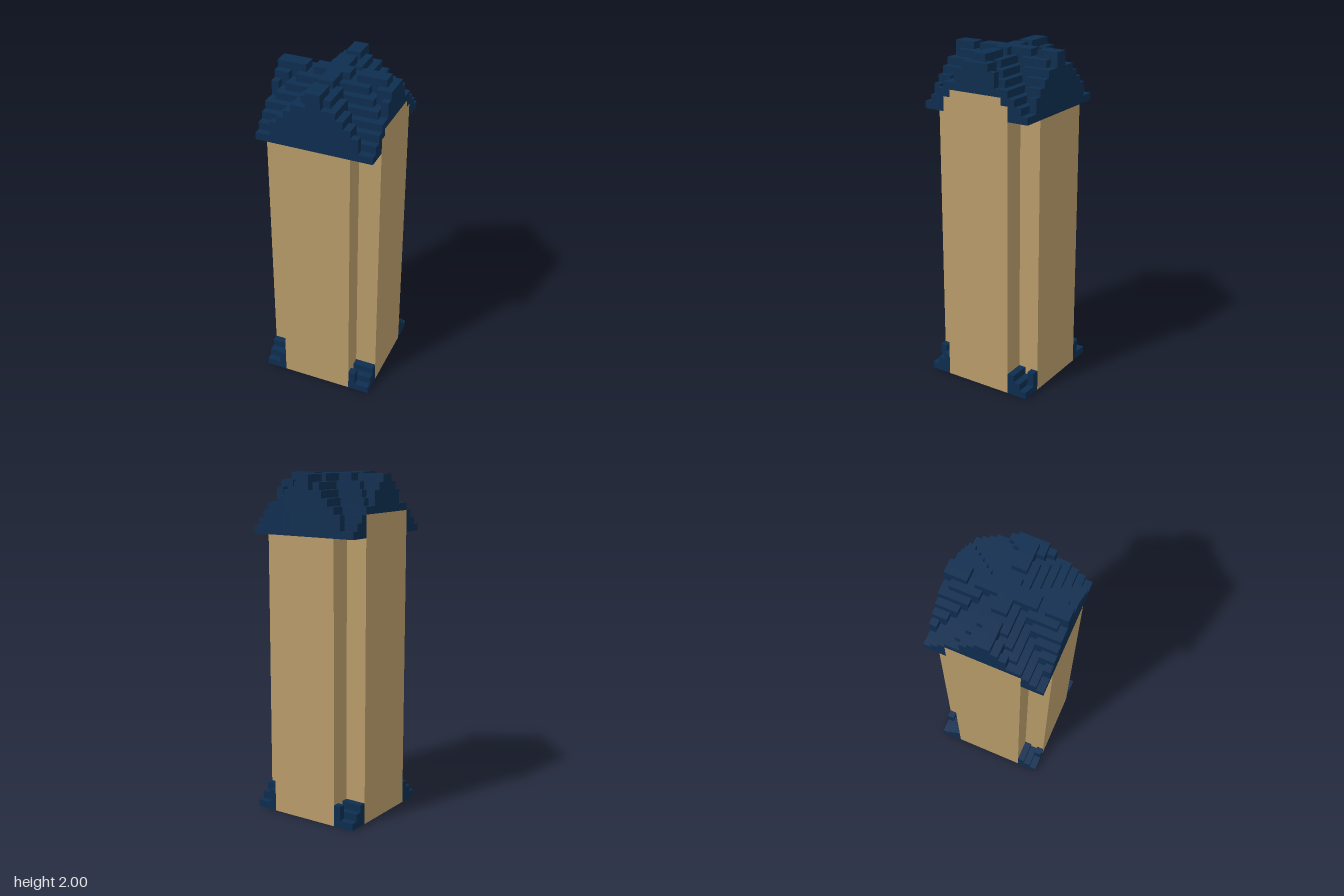
import * as THREE from 'three';
import { mergeGeometries } from 'three/addons/utils/BufferGeometryUtils.js';

const U = 2 / 47; // one block
const N = 16;     // blocks across
const EAVES = 39; // roof starts at this layer

// Box given by its block bounds, counted from the -x, -z corner
function block(x0, x1, y0, y1, z0, z1) {
  const g = new THREE.BoxGeometry((x1 - x0) * U, (y1 - y0) * U, (z1 - z0) * U);
  g.translate(((x0 + x1) / 2 - N / 2) * U, ((y0 + y1) / 2) * U, ((z0 + z1) / 2 - N / 2) * U);
  return g;
}

// Blocks away from the centre line, 0 to 7
const fromCentre = (i) => (i < 8 ? 7 - i : i - 8);

// Stepped cross gable with a few worn blocks
function steps(i, j) {
  const ix = fromCentre(i), iz = fromCentre(j);
  let h = 8 - Math.min(ix, iz);
  const gapX = iz === 0 && (i === 4 || i === 10 || i === 15);
  const gapZ = ix === 0 && (j === 3 || j === 12);
  const worn = ix > 0 && iz > 0 && (ix * 2 + iz * 3 + 2) % 5 === 0;
  if (gapX || gapZ || worn) h -= 1;
  return Math.max(h, 1);
}

// Top layer of the wall under a roof cell; the side walls rise into the gables
function wallTop(i, j) {
  const iz = fromCentre(j);
  if (iz > 4) return EAVES;
  if (i === 0) return 42;
  if (i === 15) return iz === 4 ? 41 : 42;
  return EAVES;
}

export function createModel() {
  const model = new THREE.Group();
  const tan = new THREE.MeshStandardMaterial({ color: 0xb89b69 });
  tan.name = 'tan wall';
  const navy = new THREE.MeshStandardMaterial({ color: 0x0d2d4f });
  navy.name = 'navy tile';

  const add = (name, parts, material) => {
    const mesh = new THREE.Mesh(mergeGeometries(parts), material);
    mesh.name = name;
    model.add(mesh);
  };

  // Cross-shaped tower with notched corners
  add('towerWalls', [
    block(3, 13, 0, EAVES, 0, 16),
    block(0, 3, 0, EAVES, 3, 13),
    block(13, 16, 0, EAVES, 3, 13),
  ], tan);

  // Wall tops that fill the lower part of the side gables
  add('sideGableWalls', [
    block(0, 1, EAVES, 42, 3, 13),
    block(15, 16, EAVES, 41, 3, 13),
    block(15, 16, 41, 42, 4, 12),
  ], tan);

  // Roof, one column of blocks per cell
  const roof = [];
  for (let i = 0; i < N; i++) {
    for (let j = 0; j < N; j++) {
      roof.push(block(i, i + 1, wallTop(i, j), EAVES + steps(i, j), j, j + 1));
    }
  }
  add('crossGableRoof', roof, navy);

  // Stepped feet in the four corner notches, with a tan block at the inner corner
  const feet = [], innerBlocks = [];
  const corner = [0, 1, 2, 13, 14, 15];
  for (const i of corner) {
    for (const j of corner) {
      const inner = fromCentre(i) === 5 && fromCentre(j) === 5;
      feet.push(block(i, i + 1, inner ? 1 : 0, steps(i, j), j, j + 1));
      if (inner) innerBlocks.push(block(i, i + 1, 0, 1, j, j + 1));
    }
  }
  add('cornerFeet', feet, navy);
  add('footInnerBlocks', innerBlocks, tan);

  return model;
}
